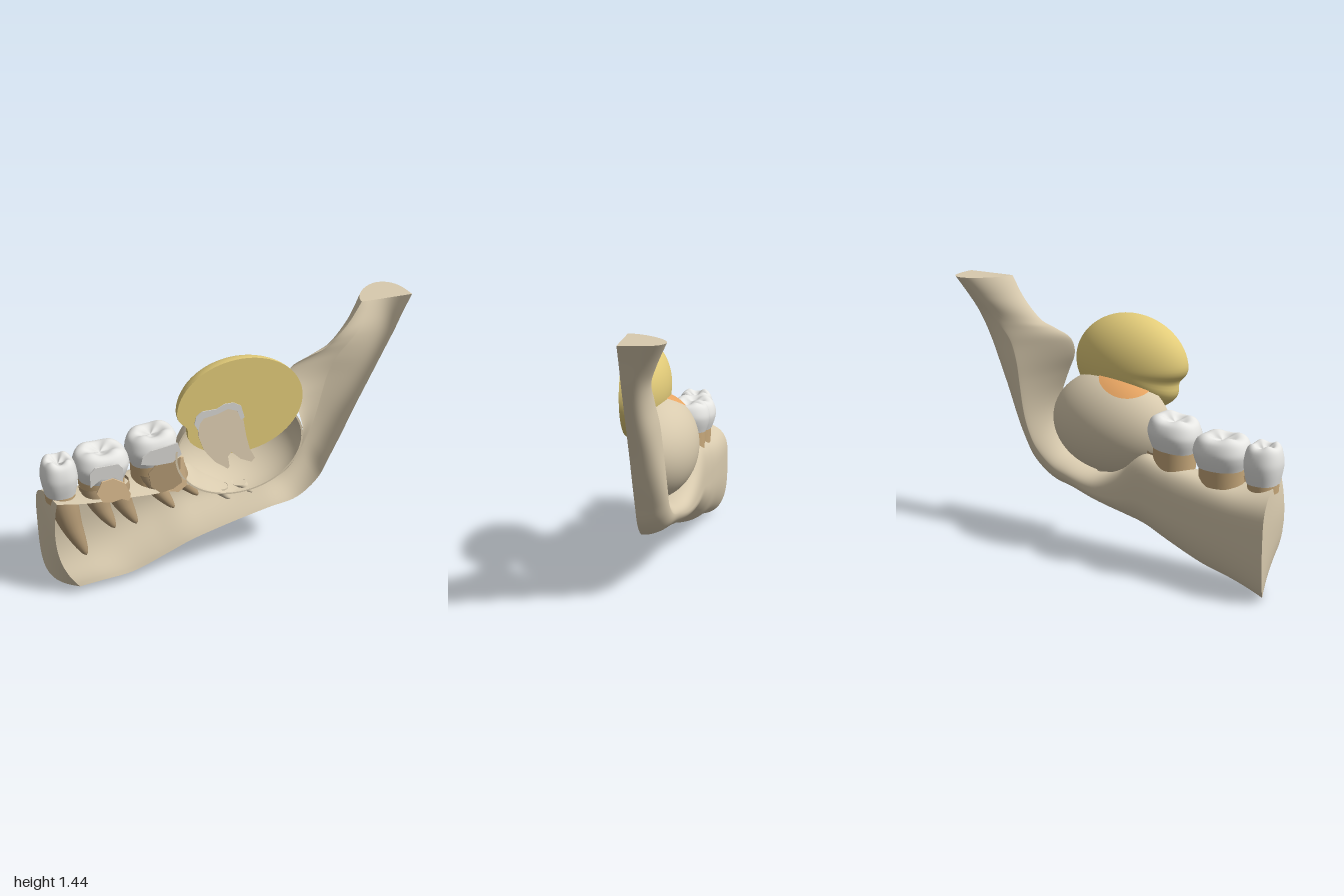
import * as THREE from 'three';
import { mergeVertices } from 'three/addons/utils/BufferGeometryUtils.js';

const mat = (name, color) => {
  const m = new THREE.MeshStandardMaterial({ color, side: THREE.DoubleSide });
  m.name = name;
  return m;
};

// Smooth grid surface from a rule fn(u, v) -> [x, y, z]
function surface(fn, nu, nv) {
  const pos = [], idx = [];
  for (let i = 0; i <= nu; i++)
    for (let j = 0; j <= nv; j++) pos.push(...fn(i / nu, j / nv));
  for (let i = 0; i < nu; i++)
    for (let j = 0; j < nv; j++) {
      const a = i * (nv + 1) + j, b = a + nv + 1;
      idx.push(a, b, a + 1, b, b + 1, a + 1);
    }
  let g = new THREE.BufferGeometry();
  g.setAttribute('position', new THREE.Float32BufferAttribute(pos, 3));
  g.setIndex(idx);
  g = mergeVertices(g, 1e-5);
  g.computeVertexNormals();
  return g;
}

const curve = (pts) => new THREE.CatmullRomCurve3(pts.map((p) => new THREE.Vector3(...p)));
const TAU = Math.PI * 2;
const CUT = 0.09; // front cutting plane of the bone

export function createModel() {
  const model = new THREE.Group();
  const bone = mat('bone', 0xd8caae);
  const sacMat = mat('yellow sac', 0xe4cd7a);
  const enamel = mat('enamel', 0xe6e6e3);
  const cutEnamel = mat('cut enamel', 0xd9d8d4);
  const dentin = mat('dentin', 0xe2d2b5);
  const rootMat = mat('root', 0xb49a75);
  const neckMat = mat('tooth neck', 0xc9aa7c);
  const decay = mat('inner pulp', 0xe0bf92);
  const orange = mat('orange patch', 0xe9a663);
  const add = (name, geo, m, parent = model) => {
    const mesh = new THREE.Mesh(geo, m);
    mesh.name = name;
    parent.add(mesh);
    return mesh;
  };

  // Jawbone, an open half shell: lower edge (x, y, depth) and upper edge (x, y, squareness)
  const lower = curve([
    [-1, 0.05, 0.3], [-0.8, 0.06, 0.28], [-0.6, 0.075, 0.265], [-0.4, 0.14, 0.26], [-0.25, 0.195, 0.25],
    [-0.1, 0.235, 0.235], [0.05, 0.27, 0.21], [0.22, 0.305, 0.18], [0.38, 0.335, 0.16], [0.5, 0.43, 0.155],
    [0.56, 0.54, 0.155], [0.63, 0.68, 0.15], [0.7, 0.83, 0.14], [0.76, 0.95, 0.13], [0.82, 1.07, 0.115],
    [0.87, 1.17, 0.11], [0.91, 1.25, 0.12], [0.95, 1.34, 0.16], [1, 1.44, 0.21]]);
  const upper = curve([
    [-1, 0.58, 3], [-0.8, 0.55, 3.2], [-0.6, 0.54, 3.2], [-0.42, 0.53, 3.2], [-0.25, 0.55, 3],
    [-0.12, 0.48, 2.8], [0.05, 0.44, 2.4], [0.22, 0.475, 2], [0.33, 0.54, 1.6], [0.39, 0.64, 1.4],
    [0.405, 0.73, 1.25], [0.385, 0.83, 1.15], [0.34, 0.95, 1.1], [0.3, 1.05, 1.1], [0.32, 1.13, 1.2],
    [0.43, 1.18, 1.4], [0.53, 1.22, 1.6], [0.64, 1.33, 1.7], [0.71, 1.44, 1.7]]);
  const section = (u, v, k) => { // k = 0 on the cutting plane, 1 on the rounded back
    const B = lower.getPoint(u), T = upper.getPoint(u), a = Math.PI * v;
    const n = 2 / (v > 0.5 ? T.z : 2 + 1.5 * Math.exp(-10 * u));
    const c = Math.sign(Math.cos(a)) * Math.abs(Math.cos(a)) ** n;
    const d = Math.max(0, Math.sin(a)) ** n * k;
    const s = ((1 - c) / 2) ** (0.8 + 0.7 * THREE.MathUtils.smoothstep(u, 0.4, 0.6));
    const slant = Math.exp(-12 * u) * (0.02 + 0.12 * (1 - s) ** 3.5 + 0.03 * s ** 4) * (1 - d);
    const drop = 0.13 * Math.exp(-8 * u) * Math.max(0, c) * d;
    const lift = 0.16 * Math.exp(-(((u - 0.2) / 0.11) ** 2)) * Math.max(0, -c) * d;
    return [B.x + (T.x - B.x) * s + slant, Math.max(0, B.y + (T.y - B.y) * s - drop + lift), CUT - B.z * d];
  };
  const jaw = new THREE.Group();
  jaw.name = 'jawbone';
  model.add(jaw);
  add('jawShell', surface((u, v) => section(u, v, 1), 110, 40), bone, jaw);
  for (const end of [0, 1])
    add(end ? 'ramusEndCap' : 'bodyEndCap', surface((u, v) => section(end, v, u), 6, 40), bone, jaw);

  // Hollow half-ellipsoid cup in the bone, with rim
  const C = [0.045, 0.715, CUT], R = [0.36, 0.28, 0.25];
  const cup = (k) => (u, v) => {
    const a = u * TAU, r = Math.sin(v * Math.PI / 2) * k;
    return [C[0] + R[0] * r * Math.cos(a), C[1] + R[1] * r * Math.sin(a),
      C[2] - R[2] * k * Math.cos(v * Math.PI / 2)];
  };
  add('cupOuter', surface(cup(1), 64, 24), bone);
  add('cupInner', surface(cup(0.97), 64, 24), bone);
  add('cupRim', surface((u, v) => cup(0.97 + 0.03 * v)(u, 1), 64, 1), bone);

  // Orange patch lying on top of the cup
  add('cupPatch', surface((u, v) => {
    const x = -0.05 + 0.145 * v * Math.cos(u * TAU);
    const z = Math.min(CUT, 0.05 + 0.13 * v * Math.sin(u * TAU));
    const q = 1 - ((x - C[0]) / R[0]) ** 2 - ((z - C[2]) / R[2]) ** 2;
    return [x, C[1] + R[1] * Math.sqrt(Math.max(0, q)) + 0.005, z];
  }, 40, 10), orange);

  // Yellow half sac with a dent on its side edge
  const sac = (r, depth, a) => {
    const dent = 1 - 0.11 * r * Math.exp(-(((a - 3.47) / 0.19) ** 2));
    return [0.34 * r * dent * Math.cos(a), 1.025 + 0.265 * r * dent * Math.sin(a), 0.208 - depth];
  };
  add('sacDome', surface((u, v) =>
    sac(Math.sin(v * Math.PI / 2), 0.215 * Math.cos(v * Math.PI / 2), u * TAU), 80, 24), sacMat);
  add('sacCutFace', surface((u, v) => sac(v, 0, u * TAU), 80, 6), sacMat);

  // Flat outline extruded from z - depth to z
  const plate = (name, pts, z, depth, m, parent) => {
    const g = new THREE.ExtrudeGeometry(new THREE.Shape(pts.map((p) => new THREE.Vector2(...p))),
      { depth, bevelEnabled: false });
    g.translate(0, 0, z - depth);
    return add(name, g, m, parent);
  };

  // Sectioned tooth inside the sac, its roots thinning towards the tips
  const sacTooth = new THREE.Group();
  sacTooth.name = 'sacTooth';
  model.add(sacTooth);
  const body = plate('sacToothBody', [[-0.23, 0.96], [-0.23, 0.9], [-0.2, 0.81], [-0.14, 0.73], [-0.07, 0.675],
    [-0.062, 0.69], [-0.07, 0.75], [-0.05, 0.77], [0, 0.72], [0.06, 0.69], [0.08, 0.71], [0.05, 0.77], [0.03, 0.85],
    [0.01, 0.97], [-0.02, 1.01], [-0.07, 1.03], [-0.13, 1.01], [-0.2, 1]], 0.211, 0.045, dentin, sacTooth).geometry;
  const bp = body.attributes.position;
  for (let i = 0; i < bp.count; i++)
    if (bp.getZ(i) < 0.2) bp.setZ(i, 0.208 - 0.042 * THREE.MathUtils.clamp((bp.getY(i) - 0.67) / 0.09, 0, 1));
  body.computeVertexNormals();
  plate('sacToothEnamel', [[-0.23, 0.93], [-0.25, 0.97], [-0.24, 1.01], [-0.21, 1.035], [-0.13, 1.035], [-0.09, 1.055],
    [-0.04, 1.055], [0, 1.03], [0.02, 0.96], [0, 0.95], [-0.02, 1.005], [-0.07, 1.025], [-0.13, 1.005],
    [-0.2, 0.995], [-0.22, 0.97]], 0.2125, 0.008, cutEnamel, sacTooth);

  // Tapered root following a path
  const root = (name, pts, r0, m, parent) => {
    const path = curve(pts);
    return add(name, surface((u, v) => {
      const p = path.getPoint(v), r = r0 * Math.max(0, 1 - v ** 1.6) ** 0.6, a = -u * TAU;
      return [p.x + r * Math.cos(a), p.y, Math.min(CUT, p.z + r * Math.sin(a))];
    }, 20, 20), m, parent);
  };

  // Crown with low cusps and a central fossa, flattened at the cutting plane
  const profile = new THREE.SplineCurve([[0.84, 0], [0.97, 0.3], [1, 0.55], [0.86, 0.85], [0.6, 0.95], [0.3, 0.86], [0, 0.8]]
    .map((p) => new THREE.Vector2(...p)));
  const crown = (name, t, parent) => add(name, surface((u, v) => {
    const p = profile.getPoint(v), a = u * TAU, h = t.y1 - t.y0;
    const sq = (c) => Math.sign(c) * Math.abs(c) ** 0.85;
    const cusp = -0.04 * Math.cos(4 * a) * Math.sin(Math.PI * Math.min(1, Math.max(0, p.x))) * (v > 0.4 ? 1 : 0);
    return [t.x + t.rx * p.x * sq(Math.cos(a)), t.y0 + h * (p.y + cusp) + t.tilt * p.x * Math.cos(a),
      Math.min(0.084, t.z + t.rz * p.x * sq(Math.sin(a)))];
  }, 48, 30), enamel, parent);

  const teeth = [
    { name: 'premolar', x: -0.905, z: -0.025, rx: 0.094, rz: 0.103, y0: 0.585, y1: 0.79, tilt: 0,
      roots: [[[-0.9, 0.56, -0.015], [-0.87, 0.4, 0.005], [-0.8, 0.195, 0.03]]], r: 0.078 },
    { name: 'firstMolar', x: -0.68, z: -0.038, rx: 0.145, rz: 0.13, y0: 0.63, y1: 0.8, tilt: 0,
      roots: [[[-0.735, 0.6, -0.01], [-0.71, 0.48, 0.01], [-0.64, 0.33, 0.03]],
        [[-0.615, 0.6, -0.01], [-0.59, 0.48, 0.01], [-0.52, 0.33, 0.03]]], r: 0.072 },
    { name: 'secondMolar', x: -0.405, z: -0.038, rx: 0.136, rz: 0.126, y0: 0.68, y1: 0.85, tilt: 0.015,
      roots: [[[-0.43, 0.62, -0.01], [-0.4, 0.52, 0.01], [-0.31, 0.38, 0.03]],
        [[-0.31, 0.64, -0.01], [-0.27, 0.55, 0.01], [-0.175, 0.43, 0.03]]], r: 0.072 },
  ];
  for (const t of teeth) {
    const g = new THREE.Group();
    g.name = t.name;
    model.add(g);
    crown(t.name + 'Crown', t, g);
    const h = t.y0 + 0.03 - 0.54;
    const neck = new THREE.CylinderGeometry(0.86, 0.82, h, 32);
    neck.scale(t.rx, 1, t.rz * 0.95);
    add(t.name + 'Neck', neck, neckMat, g).position.set(t.x, 0.54 + h / 2, t.z);
    t.roots.forEach((p, i) => root(`${t.name}Root${i + 1}`, p, t.r, rootMat, g));
  }

  // Opened faces of the two molars
  plate('firstMolarCutEnamel', [[-0.77, 0.64], [-0.77, 0.72], [-0.74, 0.75], [-0.62, 0.75], [-0.595, 0.72],
    [-0.6, 0.64], [-0.65, 0.68], [-0.71, 0.68]], 0.09, 0.008, cutEnamel);
  plate('firstMolarPulp', [[-0.74, 0.6], [-0.71, 0.66], [-0.65, 0.67], [-0.59, 0.63], [-0.56, 0.56], [-0.57, 0.52],
    [-0.61, 0.54], [-0.66, 0.53], [-0.71, 0.54]], 0.09, 0.009, decay);
  plate('secondMolarCutEnamel', [[-0.5, 0.72], [-0.49, 0.76], [-0.44, 0.79], [-0.36, 0.8], [-0.3, 0.81], [-0.28, 0.74],
    [-0.33, 0.7], [-0.42, 0.7]], 0.09, 0.008, cutEnamel);
  plate('secondMolarCutRoot', [[-0.46, 0.66], [-0.42, 0.7], [-0.32, 0.7], [-0.285, 0.72], [-0.29, 0.64], [-0.28, 0.57],
    [-0.33, 0.54], [-0.4, 0.53], [-0.45, 0.58]], 0.09, 0.009, rootMat);
  plate('secondMolarPulp', [[-0.285, 0.72], [-0.27, 0.72], [-0.265, 0.64], [-0.25, 0.55], [-0.3, 0.515],
    [-0.36, 0.53], [-0.33, 0.54], [-0.28, 0.57], [-0.29, 0.64]], 0.09, 0.009, decay);

  // Root sockets beneath the cup
  root('socket1', [[-0.05, 0.465, 0.03], [-0.04, 0.43, 0.035], [0, 0.38, 0.05]], 0.045, bone);
  root('socket2', [[0.06, 0.465, 0.03], [0.09, 0.435, 0.035], [0.13, 0.395, 0.05]], 0.04, bone);

  return model;
}
